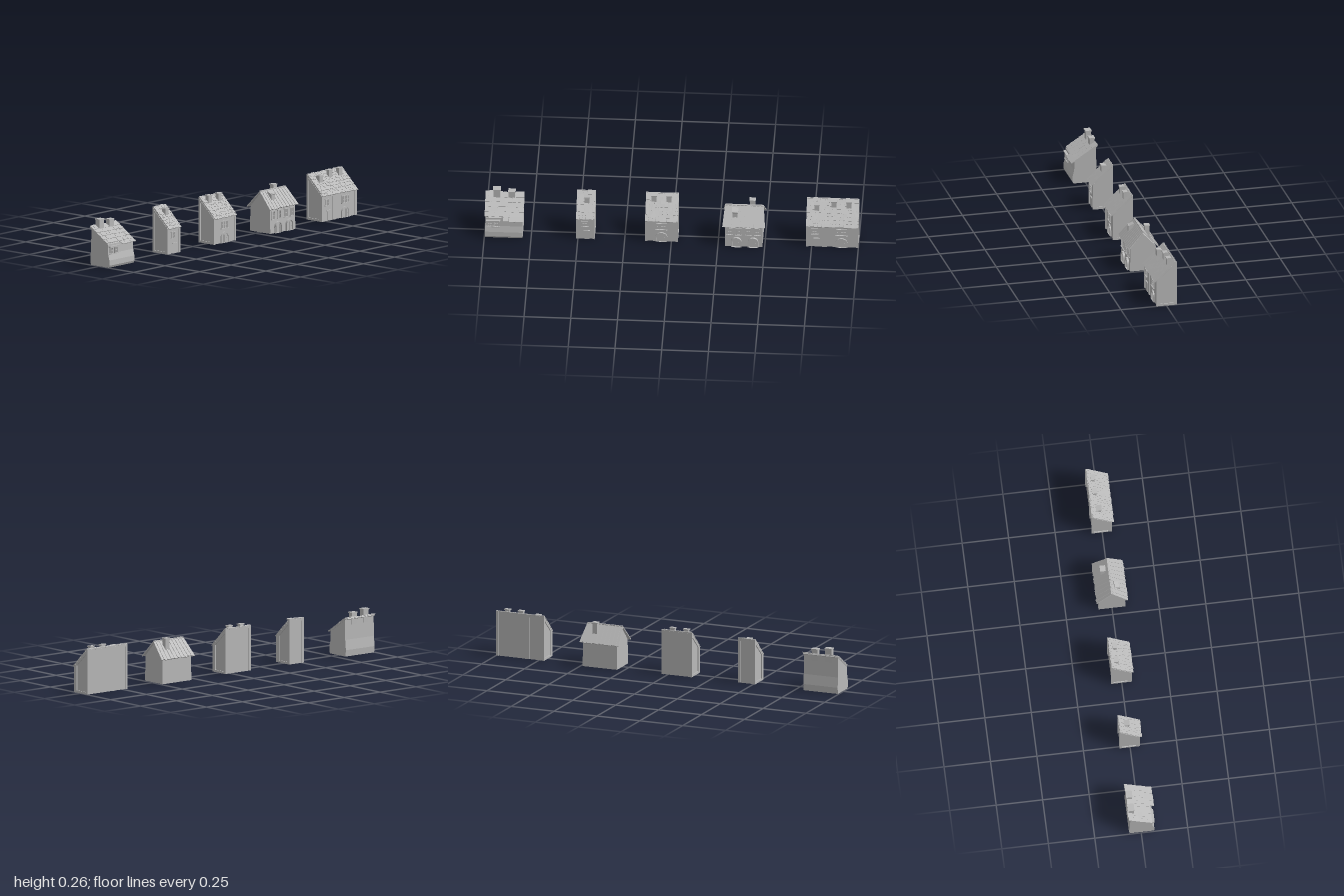
import * as THREE from 'three';

const stone = new THREE.MeshStandardMaterial({ color: 0xb8b8b8 });
stone.name = 'grey stone';

// Small seeded generator for uneven tiles and planks
let seed = 7;
const rand = (a, b) => {
  seed = (seed * 16807) % 2147483647;
  return a + (b - a) * (seed / 2147483647);
};

function add(parent, geometry, name, x = 0, y = 0, z = 0) {
  const m = new THREE.Mesh(geometry, stone);
  m.name = name;
  m.position.set(x, y, z);
  parent.add(m);
  return m;
}
const box = (p, name, w, h, d, x, y, z) => add(p, new THREE.BoxGeometry(w, h, d), name, x, y, z);

function group(parent, name, x = 0, y = 0, z = 0) {
  const g = new THREE.Group();
  g.name = name;
  g.position.set(x, y, z);
  parent.add(g);
  return g;
}

// Extrudes a [z, y] outline across the house from x0 to x1
function profile(parent, name, points, x0, x1) {
  const shape = new THREE.Shape(points.map(([z, y]) => new THREE.Vector2(z, y)));
  const geo = new THREE.ExtrudeGeometry(shape, { depth: x1 - x0, bevelEnabled: false });
  geo.rotateY(-Math.PI / 2).translate(x1, 0, 0);
  return add(parent, geo, name);
}

// Overlapping rows of tiles from eave [z, y] up to ridge [z, y]
function tiledRoof(parent, eave, ridge, half, rows, tileW, skip = () => false) {
  const dz = eave[0] - ridge[0], dy = ridge[1] - eave[1];
  const len = Math.hypot(dz, dy), step = len / rows;
  const roof = group(parent, 'tiledRoof', 0, eave[1], eave[0]);
  roof.rotation.x = Math.atan2(dy, dz);
  const inset = step * 0.9;
  box(roof, 'roofDeck', half * 2 - 0.004, 0.006, len - inset, 0, -0.003, -(len + inset) / 2);
  for (let r = 0; r < rows; r++) {
    let x = -half;
    let w = tileW * (r % 2 ? 0.55 : 1);
    while (x < half - 0.001) {
      w = Math.min(w, half - x);
      if (half - x - w < tileW * 0.3) w = half - x;
      if (!skip(r, x + w / 2)) {
        const l = step * rand(1.15, 1.35);
        const t = box(roof, 'tile', w - 0.0012, 0.004, l, x + w / 2, rand(0.001, 0.0025), -(r * step + l / 2) + rand(0, 0.003));
        t.rotation.set(-0.09, rand(-0.03, 0.03), rand(-0.02, 0.02));
      }
      x += w;
      w = tileW * rand(0.75, 1.25);
    }
  }
}

function chimney(parent, x, z, bottom, top, w, d, tilt = 0) {
  const g = group(parent, 'chimney', x, 0, z);
  box(g, 'chimneyStack', w, top - bottom - 0.004, d, 0, (top + bottom) / 2 - 0.002, 0);
  box(g, 'chimneyCap', w + 0.006, 0.006, d + 0.006, 0, top - 0.003, 0).rotation.x = tilt;
}

function windowFrame(parent, x, y, z, w, h, bars = 1) {
  const g = group(parent, 'window', x, y, z);
  const t = 0.004;
  for (const s of [-1, 1]) {
    box(g, 'windowJamb', t, h, 0.008, s * w / 2, 0, 0);
    box(g, 'windowRail', w + t * (s < 0 ? 3 : 2), t, s < 0 ? 0.014 : 0.009, 0, s * h / 2, 0);
  }
  for (let i = 1; i <= bars; i++) box(g, 'windowBar', 0.002, h, 0.005, -w / 2 + w * i / (bars + 1), 0, 0);
  box(g, 'windowCrossBar', w, 0.002, 0.005, 0, 0, 0);
}

// Arched stone surround with a recessed leaf and handle
function archDoor(parent, x, z, w, h, depth = 0.01) {
  const g = group(parent, 'archedDoor', x, 0, z);
  const arch = (Type, r, top) => {
    const s = new Type();
    s.moveTo(-r, 0);
    s.lineTo(r, 0);
    s.lineTo(r, top - r);
    s.absarc(0, top - r, r, 0, Math.PI, false);
    s.closePath();
    return s;
  };
  const frame = arch(THREE.Shape, w / 2, h);
  frame.holes.push(arch(THREE.Path, w / 2 - 0.007, h - 0.007));
  add(g, new THREE.ExtrudeGeometry(frame, { depth, bevelEnabled: false, curveSegments: 8 }), 'doorSurround');
  const leaf = arch(THREE.Shape, w / 2 - 0.007, h - 0.007);
  add(g, new THREE.ExtrudeGeometry(leaf, { depth: 0.003, bevelEnabled: false, curveSegments: 8 }), 'doorLeaf');
  for (const i of [-1, 0, 1]) box(g, 'doorBatten', 0.0015, h * 0.75, 0.002, i * w * 0.17, h * 0.38, 0.004);
  box(g, 'doorHandle', 0.003, 0.003, 0.004, w * 0.24, h * 0.4, 0.005);
}

// Lean-to town house with corner posts; slopes up to a tall back wall
const slopeY = z => 0.143 + (0.05 - z) * 0.92;
function rowHouse(parent, name, cx, half) {
  const g = group(parent, name, cx);
  profile(g, 'walls', [[0.05, 0], [0.05, slopeY(0.05)], [-0.053, slopeY(-0.053)], [-0.053, 0]], -half + 0.005, half - 0.005);
  for (const s of [-1, 1]) {
    const x0 = s < 0 ? -half : half - 0.013, x1 = x0 + 0.013;
    profile(g, 'frontPost', [[0.032, 0], [0.054, 0], [0.054, slopeY(0.054)], [0.032, slopeY(0.032)]], x0, x1);
    profile(g, 'backPost', [[-0.057, 0], [-0.045, 0], [-0.045, slopeY(-0.045)], [-0.05, 0.247], [-0.057, 0.247]], x0, x1);
    profile(g, 'slopeBeam', [[0.034, slopeY(0.034) - 0.014], [0.034, slopeY(0.034)], [-0.047, slopeY(-0.047)], [-0.047, slopeY(-0.047) - 0.014]], x0, x1);
    box(g, 'sideSill', 0.013, 0.012, 0.1, (x0 + x1) / 2, 0.006, -0.002);
  }
  box(g, 'backTopBeam', half * 2 - 0.004, 0.016, 0.008, 0, 0.239, -0.052);
  box(g, 'frontLintel', half * 2 - 0.004, 0.01, 0.008, 0, 0.135, 0.05);
  tiledRoof(g, [0.06, 0.138], [-0.052, 0.245], half, 8, 0.02);
  return g;
}

function narrowHouse(parent, cx) {
  const g = rowHouse(parent, 'narrowHouse', cx, 0.05);
  windowFrame(g, -0.004, 0.1, 0.051, 0.028, 0.034);
  box(g, 'doorPanel', 0.026, 0.052, 0.004, 0.008, 0.026, 0.051);
  box(g, 'doorLintel', 0.034, 0.005, 0.01, 0.008, 0.055, 0.051);
  chimney(g, 0.005, -0.012, 0.185, 0.238, 0.026, 0.024, -0.15);
}

function wideHouse(parent, cx, half) {
  const g = rowHouse(parent, 'wideHouse', cx, half);
  windowFrame(g, 0, 0.098, 0.051, 0.05, 0.04, 3);
  archDoor(g, 0, 0.049, 0.064, 0.06, 0.008);
  for (const x of [-0.043, 0.036]) chimney(g, x, -0.024, 0.19, 0.256, 0.026, 0.02, 0.06);
}

// Squat cottage with bulging walls and one long tiled slope
function cottage(parent) {
  const g = group(parent, 'cottage', -0.895);
  profile(g, 'walls', [[0.066, 0], [0.072, 0.012], [0.071, 0.04], [0.062, 0.075], [0.06, 0.126],
    [-0.058, 0.203], [-0.06, 0.09], [-0.066, 0.035], [-0.062, 0]], -0.1, 0.1);
  tiledRoof(g, [0.077, 0.116], [-0.062, 0.207], 0.105, 6, 0.034, (r, x) => r === 0 && x > -0.095 && x < -0.02);
  for (const x of [-0.075, -0.04]) windowFrame(g, x, 0.09, 0.064, 0.022, 0.034);
  box(g, 'windowHood', 0.075, 0.005, 0.016, -0.057, 0.113, 0.066);
  chimney(g, -0.043, -0.048, 0.17, 0.245, 0.036, 0.028);
  chimney(g, 0.037, -0.048, 0.17, 0.234, 0.034, 0.026);
}

// Gabled house with a plank roof that flares towards the eaves
function gabledHouse(parent) {
  const g = group(parent, 'gabledHouse', 0.388);
  profile(g, 'walls', [[0.073, 0], [0.07, 0.135], [0, 0.21], [-0.07, 0.135], [-0.073, 0]], -0.1, 0.1);
  const len = Math.hypot(0.084, 0.09), n = 19;
  for (const side of [1, -1]) {
    const turn = group(g, 'roofSide');
    turn.rotation.y = side > 0 ? 0 : Math.PI;
    const slope = group(turn, 'roofSlope', 0, 0.133, 0.082);
    slope.rotation.x = Math.atan2(0.09, 0.084);
    for (let i = 0; i < n; i++) {
      const w = 0.226 / n, raised = i % 2;
      const geo = new THREE.BoxGeometry(raised ? w * 0.7 : w * 1.3, raised ? 0.008 : 0.005, len);
      geo.translate((i + 0.5) * w - 0.113, raised ? 0.001 : 0, -len / 2 + rand(-0.002, 0.003));
      const p = geo.attributes.position;
      for (let k = 0; k < p.count; k++) p.setX(k, p.getX(k) * (1 + 0.1 * p.getZ(k) / len));
      geo.computeVertexNormals();
      add(slope, geo, 'roofPlank');
    }
  }
  box(g, 'ridgeBeam', 0.204, 0.007, 0.009, 0, 0.222, 0);
  chimney(g, -0.048, 0.033, 0.165, 0.214, 0.028, 0.028, 0.4);
  chimney(g, 0.042, -0.033, 0.17, 0.24, 0.028, 0.024);
  for (const x of [-0.04, 0.05]) archDoor(g, x, 0.071, 0.056, 0.062, 0.012);
  for (const x of [-0.075, -0.028, 0.024, 0.072]) windowFrame(g, x, 0.098, 0.072, 0.022, 0.044);
}

export function createModel() {
  const model = new THREE.Group();
  model.name = 'houseRow';
  cottage(model);
  narrowHouse(model, -0.46);
  wideHouse(model, -0.053, 0.088);
  gabledHouse(model);
  // Attached pair at the end of the row
  const pair = group(model, 'pairedHouses');
  narrowHouse(pair, 0.77);
  wideHouse(pair, 0.91, 0.09);
  return model;
}
